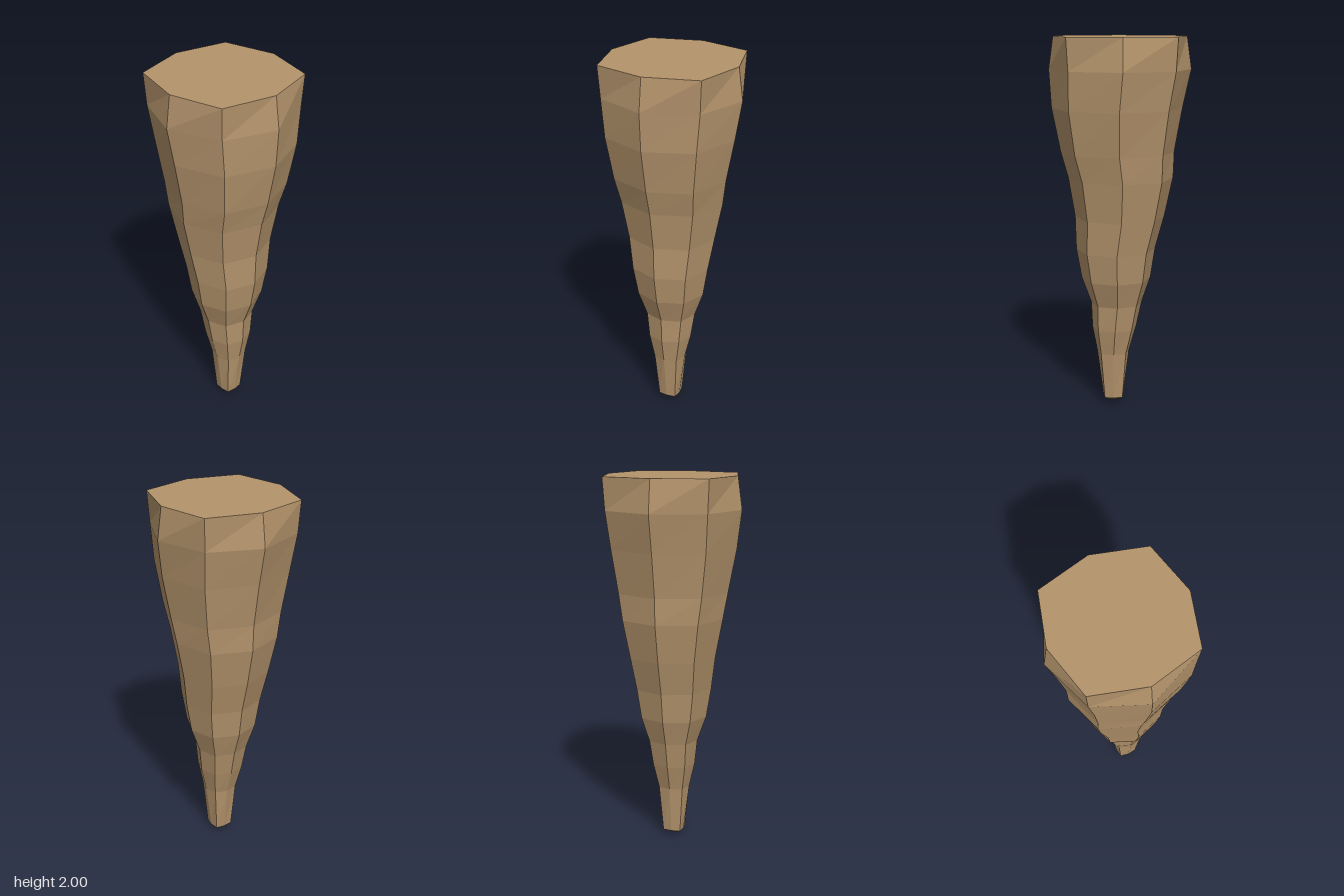
import * as THREE from 'three';

// Rings from tip to top: height, centre x, axis radius, corner offset / radius
const RINGS = [
  [0.03, 0.036, 0.055, 0.88],
  [0.29, 0.037, 0.087, 0.77],
  [0.43, 0.03, 0.12, 0.75],
  [0.57, 0.018, 0.138, 0.745],
  [0.71, 0.02, 0.187, 0.73],
  [0.87, 0.022, 0.213, 0.73],
  [1.05, 0, 0.24, 0.73],
  [1.26, -0.005, 0.28, 0.73],
  [1.4, 0.012, 0.302, 0.74],
  [1.63, 0.014, 0.345, 0.73],
  [1.83, -0.002, 0.373, 0.72],
  [2, -0.002, 0.349, 0.795],
];
const SIDES = 8;

export function createModel() {
  const group = new THREE.Group();
  group.name = 'taperedSpike';

  // Eight-sided cross-sections, alternating side points and corners
  const positions = [];
  for (const [y, cx, r, corner] of RINGS) {
    for (let j = 0; j < SIDES; j++) {
      const angle = (j / SIDES) * Math.PI * 2;
      const radius = j % 2 ? r * corner * Math.SQRT2 : r;
      positions.push(cx + Math.cos(angle) * radius, y, Math.sin(angle) * radius);
    }
  }
  const last = (RINGS.length - 1) * SIDES;
  const tip = RINGS.length * SIDES;
  const top = tip + 1;
  positions.push(0.037, 0, 0, -0.002, 2, 0);

  // Shaft walls, pointed tip and flat top
  const index = [];
  for (let j = 0; j < SIDES; j++) {
    const k = (j + 1) % SIDES;
    for (let base = 0; base < last; base += SIDES) {
      const a = base + j, b = base + k;
      index.push(a, a + SIDES, b, b, a + SIDES, b + SIDES);
    }
    index.push(tip, j, k);
    index.push(top, last + k, last + j);
  }

  const geometry = new THREE.BufferGeometry();
  geometry.setAttribute('position', new THREE.Float32BufferAttribute(positions, 3));
  geometry.setIndex(index);
  const flat = geometry.toNonIndexed();
  flat.computeVertexNormals();

  const material = new THREE.MeshStandardMaterial({ color: 0xb4946c, flatShading: true });
  const spike = new THREE.Mesh(flat, material);
  spike.name = 'spike';
  group.add(spike);
  return group;
}
